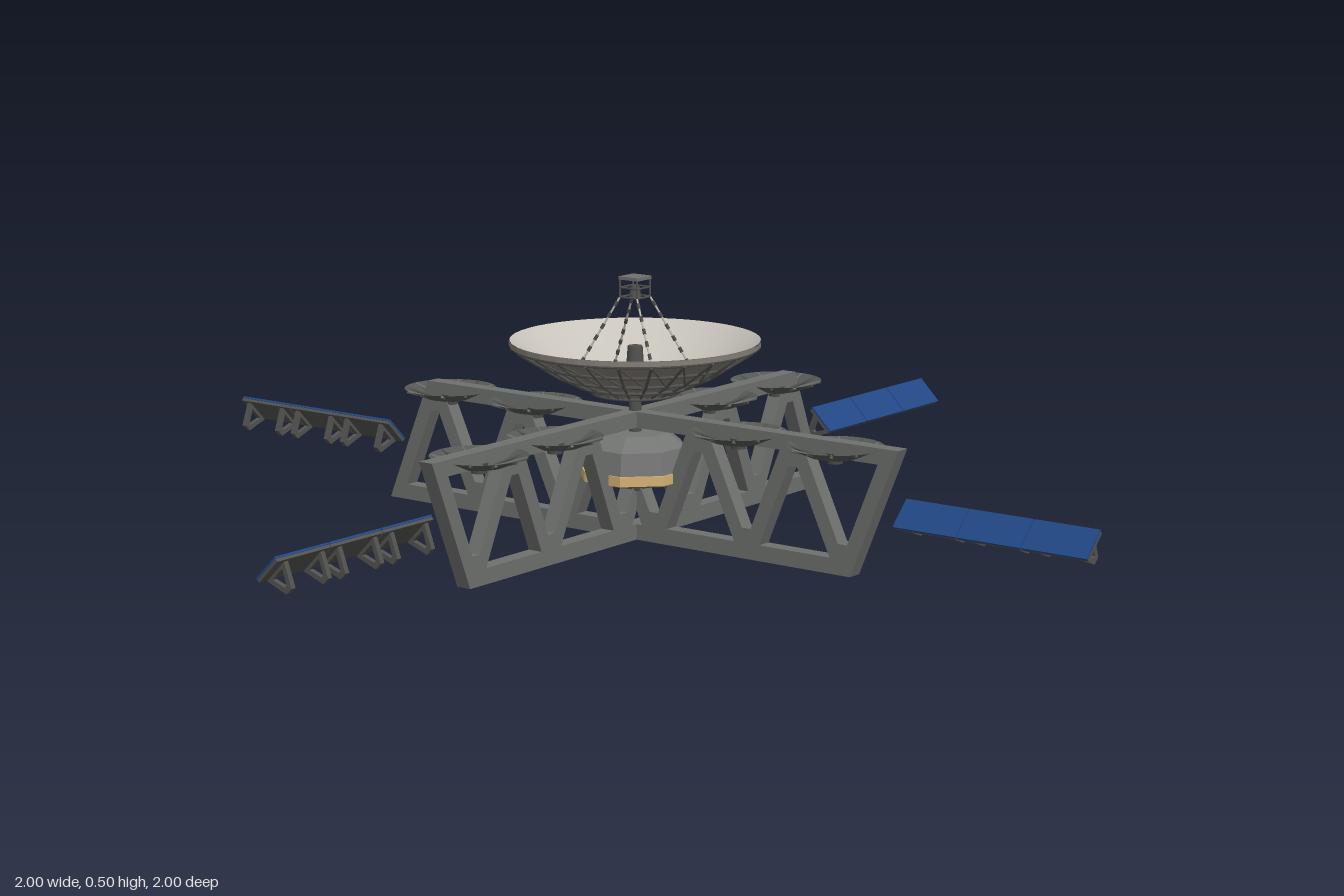
import * as THREE from 'three';

const mat = (name, color, extra = {}) => Object.assign(new THREE.MeshStandardMaterial({ color, ...extra }), { name });

export function createModel() {
  const steel = mat('truss grey', 0x6e706e);
  const dark = mat('dark frame', 0x525350);
  const mesh = mat('dark mesh', 0x555855, { side: THREE.DoubleSide, flatShading: true });
  const blue = mat('solar blue', 0x214784);
  const white = mat('dish white', 0xc8c4bc, { side: THREE.DoubleSide });
  const under = mat('dish underside', 0x857f76, { flatShading: true });
  const gold = mat('gold foil', 0xd6b074, { flatShading: true });
  const hull = mat('hull grey', 0x747674, { flatShading: true });

  const model = new THREE.Group();
  const add = (parent, name, geometry, material, x = 0, y = 0, z = 0) => {
    const m = new THREE.Mesh(geometry, material);
    m.name = name;
    m.position.set(x, y, z);
    parent.add(m);
    return m;
  };
  const group = (parent, name) => {
    const g = new THREE.Group();
    g.name = name;
    parent.add(g);
    return g;
  };
  const V = (x, y, z) => new THREE.Vector3(x, y, z);
  const bar = (parent, name, a, b, r, material) => {
    const d = b.clone().sub(a);
    const m = add(parent, name, new THREE.CylinderGeometry(r, r, d.length(), 5), material);
    m.position.copy(a).add(b).multiplyScalar(0.5);
    m.quaternion.setFromUnitVectors(V(0, 1, 0), d.normalize());
  };
  const lathe = (pts, n) => new THREE.LatheGeometry(pts.map(p => new THREE.Vector2(...p)), n);
  const poly = (pts, C = THREE.Shape) => new C(pts.map(p => new THREE.Vector2(...p)));

  // Two crossing trusses: slanted plates with alternating trapezoid openings
  const H = 0.245, W = 0.0155, step = 0.2138;
  const plate = poly([[-0.5, 0], [0.6, 0], [0.5, H], [-0.6, H]]);
  for (let i = 0; i < 5; i++) {
    const t0 = -0.5845 + i * step, t1 = t0 + step, b0 = t0 + 0.1, b1 = b0 + step;
    const along = (t, b, y) => b + (t - b) * y / H;
    const hole = (l0, l1, r0, r1, lo, hi) => plate.holes.push(poly([
      [along(l0, l1, lo) + W, lo], [along(l0, l1, hi) + W, hi],
      [along(r0, r1, hi) - W, hi], [along(r0, r1, lo) - W, lo]], THREE.Path));
    hole(t0, b0, t1, b0, 0.058, 0.215);
    hole(t1, b0, t1, b1, 0.03, 0.187);
  }
  const trussGeo = new THREE.ExtrudeGeometry(plate, { depth: 0.03, bevelEnabled: false });
  trussGeo.translate(0, 0, -0.015);
  for (let k = 0; k < 2; k++) add(model, 'truss', trussGeo, steel).rotation.y = k * Math.PI / 2;

  // Shared shapes for the four arms
  const bowl = lathe([[0.012, 0.208], [0.05, 0.216], [0.09, 0.234]], 24);
  const bracket = poly([[0.003, -0.028], [0.046, -0.008], [0.046, 0.008], [0.003, 0.028]]);
  bracket.holes.push(poly([[0.009, -0.016], [0.009, 0.016], [0.035, 0.003], [0.035, -0.003]], THREE.Path));
  const bracketGeo = new THREE.ExtrudeGeometry(bracket, { depth: 0.01, bevelEnabled: false });
  bracketGeo.translate(0, 0, -0.005).rotateY(Math.PI / 2);

  for (let k = 0; k < 4; k++) {
    const arm = group(model, 'arm');
    arm.rotation.y = k * Math.PI / 2;

    // Small ribbed dishes sunk in the top chord
    for (const x of [0.24, 0.455]) {
      const dish = group(arm, 'smallDish');
      dish.position.x = x;
      add(dish, 'smallBowl', bowl, mesh);
      add(dish, 'smallHub', new THREE.CylinderGeometry(0.018, 0.014, 0.02, 10), dark, 0, 0.212, 0);
      for (let i = 0; i < 12; i++) {
        const a = i * Math.PI / 6, c = Math.cos(a), s = Math.sin(a);
        bar(dish, 'smallRib', V(c * 0.015, 0.21, s * 0.015), V(c * 0.088, 0.232, s * 0.088), 0.003, i % 2 ? dark : steel);
      }
    }

    // Solar wing of three tilted panels with brackets behind
    const wing = group(arm, 'solarWing');
    wing.position.set(0, 0.126, 0.003);
    wing.rotation.x = -Math.PI / 4;
    for (let i = 0; i < 3; i++) {
      const x = 0.6667 + i * 0.1333;
      add(wing, 'panelBack', new THREE.BoxGeometry(0.1313, 0.06, 0.006), dark, x, 0, 0.002);
      add(wing, 'solarCells', new THREE.BoxGeometry(0.1313, 0.062, 0.004), blue, x, 0, 0.007);
      for (const s of [-1, 1]) add(wing, 'panelBracket', bracketGeo, dark, x + s * 0.045, 0, 0);
    }
  }

  // Central hull with a gold band
  const hub = group(model, 'hub');
  const drum = (name, top, bottom, y0, y1, m) => {
    add(hub, name, new THREE.CylinderGeometry(top, bottom, y1 - y0, 8), m, 0, (y0 + y1) / 2, 0).rotation.y = Math.PI / 8;
  };
  drum('hubFoot', 0.035, 0.028, 0.095, 0.118, dark);
  drum('hubBase', 0.104, 0.09, 0.113, 0.12, hull);
  drum('goldBand', 0.109, 0.109, 0.119, 0.138, gold);
  drum('hubBody', 0.098, 0.106, 0.138, 0.18, hull);
  drum('hubRoof', 0.065, 0.098, 0.18, 0.205, hull);
  drum('dishNeck', 0.012, 0.012, 0.205, 0.28, dark);

  // Main dish: reflector, backing shell, ribs and hoops
  const main = group(model, 'mainDish');
  const inner = [];
  for (let i = 0; i <= 10; i++) inner.push([0.0235 * i, 0.285 + 0.095 * (i / 10) ** 2]);
  add(main, 'reflector', lathe(inner, 48), white);
  const back = [[0, 0.274], [0.08, 0.282], [0.15, 0.318], [0.236, 0.37], [0.236, 0.379]];
  add(main, 'backShell', lathe(back, 36), under);
  for (let i = 0; i < 24; i++) {
    const at = (r, y, turn = 0) => {
      const a = (i + turn) * Math.PI / 12;
      return V(Math.cos(a) * r, y, Math.sin(a) * r);
    };
    bar(main, 'backRib', at(0.07, 0.278), at(0.15, 0.314), 0.003, dark);
    bar(main, 'backRib', at(0.15, 0.314), at(0.233, 0.367), 0.003, dark);
    bar(main, 'backBrace', at(0.15, 0.314), at(0.233, 0.367, 1), 0.002, dark);
  }
  for (const [r, y] of [[0.08, 0.279], [0.115, 0.297], [0.15, 0.315], [0.19, 0.34], [0.232, 0.368]]) {
    add(main, 'backHoop', new THREE.TorusGeometry(r, 0.003, 5, 36), dark, 0, y, 0).rotation.x = Math.PI / 2;
  }

  // Feed horn and four-legged mast with dark joints
  add(main, 'feedHorn', new THREE.CylinderGeometry(0.014, 0.02, 0.085, 10), dark, 0, 0.325, 0);
  for (const sx of [-1, 1]) for (const sz of [-1, 1]) {
    const low = V(sx * 0.062, 0.308, sz * 0.098), high = V(sx * 0.02, 0.46, sz * 0.02);
    bar(main, 'mastLeg', low, high, 0.002, white);
    for (let i = 0; i < 7; i++) {
      bar(main, 'mastJoint', low.clone().lerp(high, i / 7 + 0.03), low.clone().lerp(high, i / 7 + 0.09), 0.0035, dark);
    }
    bar(main, 'mastPost', high, V(sx * 0.02, 0.495, sz * 0.02), 0.002, dark);
  }
  for (const y of [0.46, 0.478]) for (const s of [-1, 1]) {
    bar(main, 'mastRail', V(-0.02, y, s * 0.02), V(0.02, y, s * 0.02), 0.002, dark);
    bar(main, 'mastRail', V(s * 0.02, y, -0.02), V(s * 0.02, y, 0.02), 0.002, dark);
  }
  add(main, 'subreflector', new THREE.BoxGeometry(0.044, 0.006, 0.044), steel, 0, 0.496, 0);
  add(main, 'receiver', new THREE.CylinderGeometry(0.008, 0.012, 0.025, 8), dark, 0, 0.47, 0);

  return model;
}
